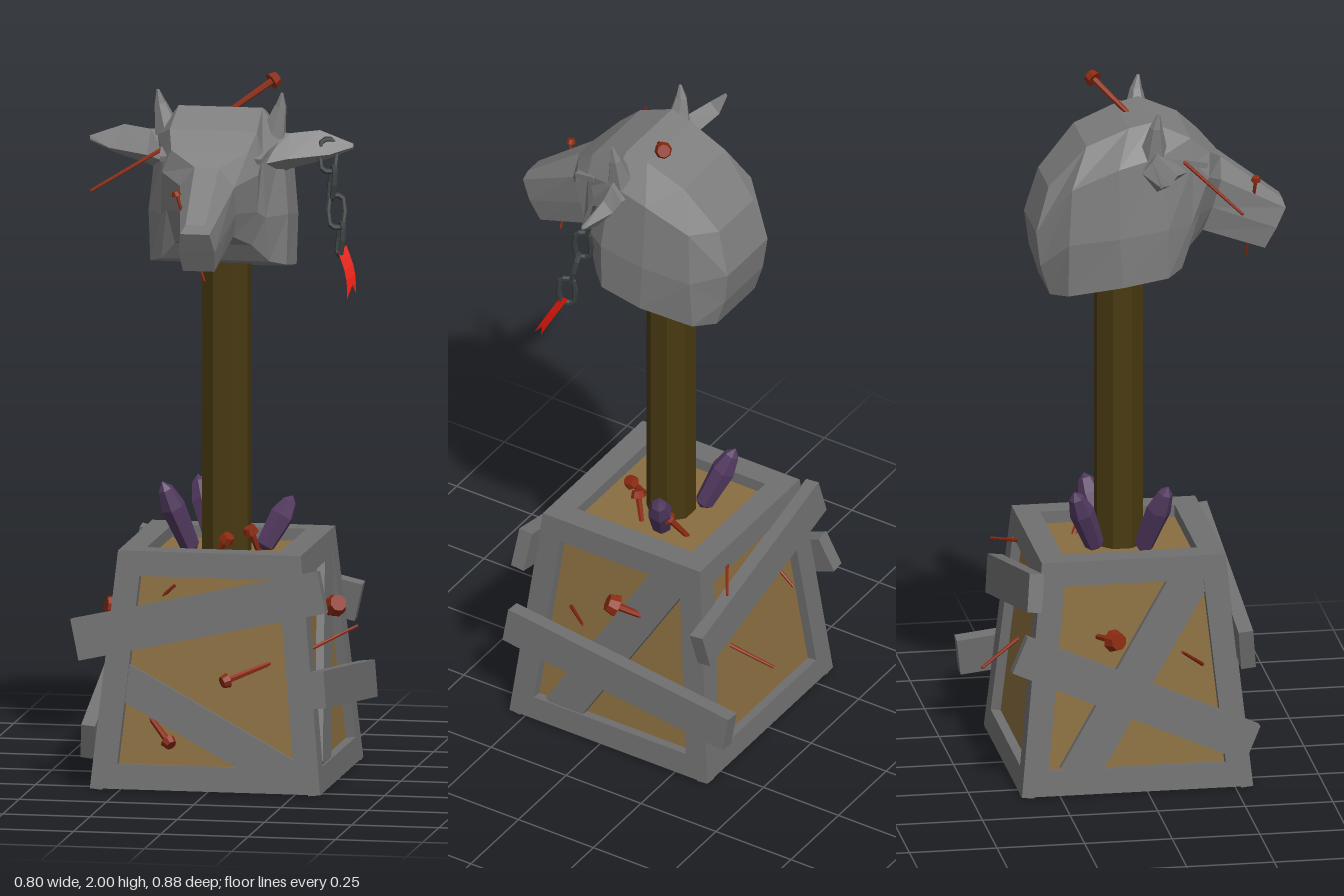
import * as THREE from 'three';

const mat = (color, extra = {}) => new THREE.MeshStandardMaterial({ color, flatShading: true, ...extra });
const STONE = mat(0x7e7e7e), FRAME = mat(0x707070), TAN = mat(0x8a6e40), POLE = mat(0x483910);
const RUST = mat(0x8b2a10), PURPLE = mat(0x523960), IRON = mat(0x3a4040);
const RED = mat(0xe01808, { side: THREE.DoubleSide });
const UP = new THREE.Vector3(0, 1, 0);
const CX = -0.005, CZ = -0.03; // axis of crate and pole

function add(parent, name, geometry, material, x = 0, y = 0, z = 0) {
  const m = new THREE.Mesh(geometry, material);
  m.name = name;
  m.position.set(x, y, z);
  parent.add(m);
  return m;
}

// Skin a series of rings (each clockwise seen from the far end) and cap both ends with strips
function loft(rings) {
  const n = rings[0].length, idx = [], last = (rings.length - 1) * n;
  for (let i = 0; i < rings.length - 1; i++)
    for (let j = 0; j < n; j++) {
      const a = i * n + j, b = i * n + (j + 1) % n, c = b + n, d = a + n;
      idx.push(a, d, c, a, c, b);
    }
  for (let j = 0; j < n / 2 - 1; j++) {
    const b = j + 1, c = n - 2 - j, d = n - 1 - j;
    idx.push(j, b, c, j, c, d, last + j, last + c, last + b, last + j, last + d, last + c);
  }
  const g = new THREE.BufferGeometry();
  g.setAttribute('position', new THREE.Float32BufferAttribute(rings.flat(2), 3));
  g.setIndex(idx);
  g.computeVertexNormals();
  return g;
}

// Group whose y axis runs from a to b
function along(parent, name, a, b) {
  const g = new THREE.Group(), p = new THREE.Vector3(...a), d = new THREE.Vector3(...b).sub(p);
  const length = d.length();
  g.name = name;
  g.position.copy(p);
  g.quaternion.setFromUnitVectors(UP, d.normalize());
  parent.add(g);
  return [g, length];
}

// Nail from its tip to its head; headR = 0 leaves a bare spike
function nail(parent, tip, head, r, headR) {
  const [g, len] = along(parent, headR ? 'nail' : 'spike', tip, head);
  add(g, 'nailShaft', new THREE.CylinderGeometry(r, r * 0.7, len, 6), RUST, 0, len / 2, 0);
  if (headR) {
    add(g, 'nailHead', new THREE.CylinderGeometry(headR * 0.75, headR, headR * 0.9, 8), RUST, 0, len, 0);
  }
}

function crate() {
  const g = new THREE.Group(), H = 0.67, B = 0.33, T = 0.262, W = 0.07, R = Math.SQRT2;
  g.name = 'crate';
  g.position.set(CX, 0, CZ);
  const panel = new THREE.CylinderGeometry((T - 0.025) * R, (B - 0.03) * R, 0.62, 4).rotateY(Math.PI / 4);
  add(g, 'cratePanels', panel, TAN, 0, 0.325, 0);
  add(g, 'crateBase', new THREE.BoxGeometry(2 * B - 0.01, 0.02, 2 * B - 0.01), FRAME, 0, 0.01, 0);

  const outline = (pts) => pts.map(p => new THREE.Vector2(...p));
  // Open rim on top
  const sq = (s) => outline([[-s, -s], [s, -s], [s, s], [-s, s]]);
  const rim = new THREE.Shape(sq(T));
  rim.holes.push(new THREE.Path(sq(T - W)));
  add(g, 'topRim', new THREE.ExtrudeGeometry(rim, { depth: 0.05, bevelEnabled: false }).rotateX(Math.PI / 2),
    FRAME, 0, H, 0);

  // Sloped side frames
  const L = Math.hypot(H, B - T), lean = Math.atan((B - T) / H);
  const half = (v) => B + (T - B) * v / L;
  const trap = (v0, v1, inset) => outline([[-half(v0) + inset, v0], [half(v0) - inset, v0],
    [half(v1) - inset, v1], [-half(v1) + inset, v1]]);
  const side = new THREE.Shape(trap(0, L, 0));
  side.holes.push(new THREE.Path(trap(W, L - W, W)));
  const sideGeo = new THREE.ExtrudeGeometry(side, { depth: 0.035, bevelEnabled: false }).translate(0, 0, -0.035);

  // Per side: planks as [u0, v0, u1, v1, width, offset, thickness]; front, left, back, right
  const brace = [-0.17, 0.05, 0.17, 0.62, 0.11, -0.018, 0.025];
  const planks = [
    [[-0.375, 0.42, 0.33, 0.575, 0.12, 0.018, 0.042], [-0.27, 0.32, 0.24, 0.045, 0.1, -0.018, 0.025]],
    [[-0.335, 0.3, 0.405, 0.21, 0.105, 0.022, 0.045], brace],
    [[-0.325, 0.45, 0.31, 0.6, 0.11, 0.018, 0.042]],
    [[-0.335, 0.42, 0.325, 0.13, 0.11, 0.02, 0.04], brace],
  ];
  planks.forEach((list, i) => {
    const turn = new THREE.Group(), face = new THREE.Group();
    turn.name = 'crateSide';
    turn.rotation.y = i * Math.PI / 2;
    face.position.z = B;
    face.rotation.x = -lean;
    turn.add(face);
    g.add(turn);
    add(face, 'sideFrame', sideGeo, FRAME);
    for (const [u0, v0, u1, v1, w, off, t] of list) {
      const m = add(face, off > 0 ? 'outerPlank' : 'diagonalBrace',
        new THREE.BoxGeometry(Math.hypot(u1 - u0, v1 - v0), w, t), FRAME, (u0 + u1) / 2, (v0 + v1) / 2, off);
      m.rotation.z = Math.atan2(v1 - v0, u1 - u0);
    }
  });
  return g;
}

function head() {
  const g = new THREE.Group();
  g.name = 'head';
  g.position.x = -0.008;
  // Half sections from nape to muzzle, each from crown to jaw
  const sections = [
    [[0.09, 1.73, -0.245], [0.105, 1.6, -0.283], [0.1, 1.5, -0.27], [0.1, 1.415, -0.243]],
    [[0.11, 1.85, -0.14], [0.165, 1.74, -0.19], [0.175, 1.58, -0.2], [0.16, 1.425, -0.2]],
    [[0.115, 1.9, -0.02], [0.185, 1.8, -0.06], [0.203, 1.6, -0.06], [0.2, 1.455, -0.05]],
    [[0.12, 1.915, 0.045], [0.18, 1.83, 0.06], [0.2, 1.62, 0.08], [0.195, 1.475, 0.08]],
    [[0.125, 1.865, 0.155], [0.142, 1.8, 0.16], [0.15, 1.62, 0.155], [0.155, 1.49, 0.125]],
    [[0.11, 1.815, 0.212], [0.138, 1.75, 0.205], [0.13, 1.64, 0.18], [0.11, 1.54, 0.155]],
    [[0.035, 1.775, 0.255], [0.078, 1.72, 0.25], [0.078, 1.64, 0.225], [0.065, 1.57, 0.2]],
    [[0.028, 1.64, 0.432], [0.042, 1.615, 0.44], [0.052, 1.56, 0.412], [0.045, 1.5, 0.38]],
  ];
  const rings = sections.map(s => [...s, ...[...s].reverse().map(([x, y, z]) => [-x, y, z])]);
  add(g, 'skull', loft(rings), STONE);

  // Ears, horns and brows, mirrored
  const ear = loft([
    [[0.13, 1.85, 0.05], [0.14, 1.8, 0.0], [0.14, 1.71, 0.07], [0.13, 1.77, 0.16]],
    [[0.2, 1.845, 0.045], [0.2, 1.8, 0.01], [0.2, 1.745, 0.055], [0.2, 1.78, 0.105]],
    [[0.28, 1.852, 0.02], [0.28, 1.82, -0.01], [0.3, 1.77, 0.03], [0.315, 1.79, 0.065]],
    [[0.378, 1.818, 0.03], [0.378, 1.81, 0.025], [0.376, 1.802, 0.03], [0.376, 1.808, 0.035]],
  ]);
  for (const s of [1, -1]) {
    const half = new THREE.Group();
    half.name = s > 0 ? 'leftHeadDetails' : 'rightHeadDetails';
    half.scale.x = s;
    g.add(half);
    add(half, 'ear', ear, STONE);
    const [base, l1] = along(half, 'horn', [0.148, 1.83, 0.045], [0.172, 1.92, 0.048]);
    add(base, 'hornBase', new THREE.CylinderGeometry(0.018, 0.042, l1, 6), STONE, 0, l1 / 2, 0);
    const [tip, l2] = along(half, 'horn', [0.172, 1.918, 0.048], [0.178, 1.96, 0.055]);
    add(tip, 'hornTip', new THREE.CylinderGeometry(0.004, 0.018, l2, 6), STONE, 0, l2 / 2, 0);
    const brow = add(half, 'brow', new THREE.BoxGeometry(0.02, 0.016, 0.07), STONE, 0.14, 1.795, 0.165);
    brow.rotation.set(0.25, -0.15, 0);
  }
  return g;
}

function chain() {
  const g = new THREE.Group();
  g.name = 'chain';
  const link = new THREE.TorusGeometry(0.024, 0.008, 6, 10);
  const p = link.attributes.position; // stretch the ring into an oval link
  for (let i = 0; i < p.count; i++) p.setY(i, p.getY(i) + Math.sign(Math.round(p.getY(i) * 1e4)) * 0.022);
  link.computeVertexNormals();
  for (let i = 0; i < 4; i++) {
    const t = i / 3;
    const m = add(g, 'chainLink', link, IRON, 0.3 + 0.045 * t, 1.785 - 0.23 * t, 0.045 + 0.05 * t);
    m.rotation.set(-0.25, i % 2 ? 2.0 : 0.4, i % 2 ? 0.25 : 0.05);
  }
  // Torn ribbon hanging from the last link
  const strip = new THREE.PlaneGeometry(1, 1, 2, 5), q = strip.attributes.position;
  for (let i = 0; i < q.count; i++) {
    const s = q.getX(i), t = 0.5 - q.getY(i), notch = t > 0.99 && s === 0 ? 0.03 : 0;
    const w = 0.042 * s;
    q.setXYZ(i, 0.35 + 0.038 * t + 0.01 * Math.sin(t * 3) + w * 0.45, 1.53 - 0.125 * t + notch + w * 0.3,
      0.1 + 0.065 * t - notch * 0.5 - w * 0.8);
  }
  strip.computeVertexNormals();
  add(g, 'ribbon', strip, RED);
  return g;
}

export function createModel() {
  const model = new THREE.Group();
  model.name = 'headOnCrate';
  model.add(crate(), head(), chain());
  add(model, 'pole', new THREE.CylinderGeometry(0.071, 0.071, 0.95, 8).rotateY(Math.PI / 8), POLE, CX, 1.075, CZ);

  // Crystals around the foot of the pole
  const crystals = [
    [[-0.09, 0.63, 0.02], [-0.168, 0.845, 0.085]],
    [[0.09, 0.63, -0.06], [0.172, 0.785, -0.1]],
    [[-0.05, 0.63, -0.1], [-0.115, 0.825, -0.175]],
  ];
  for (const [a, b] of crystals) {
    const [g, len] = along(model, 'crystal', a, b);
    const profile = [[0.001, 0], [0.028, 0.1], [0.036, 0.65], [0.022, 0.9], [0.001, 1]]
      .map(([r, t]) => new THREE.Vector2(r, t * len));
    add(g, 'crystalBody', new THREE.LatheGeometry(profile, 6), PURPLE);
  }

  // Nails: tip, head, shaft radius, head radius
  const nails = [
    [[0, 1.89, 0.01], [0.122, 1.975, -0.085], 0.01, 0.025],
    [[0.0, 1.465, 0.335], [-0.078, 1.715, 0.35], 0.005, 0.014],
    [[0.18, 0.365, 0.22], [0.055, 0.32, 0.315], 0.01, 0.022],
    [[-0.2, 0.225, 0.22], [-0.108, 0.135, 0.295], 0.01, 0.022],
    [[0.255, 0.44, -0.12], [0.31, 0.49, -0.033], 0.012, 0.033],
    [[-0.25, 0.44, -0.135], [-0.347, 0.455, -0.093], 0.012, 0.033],
    [[0.08, 0.62, -0.15], [0.13, 0.71, -0.1], 0.01, 0.022],
    [[0.1, 0.62, 0.0], [0.075, 0.705, 0.03], 0.01, 0.022],
    [[-0.03, 0.62, 0.06], [0.02, 0.69, 0.09], 0.01, 0.022],
  ];
  nails.forEach(n => nail(model, ...n));

  // Points of nails driven through from inside
  const spikes = [
    [[-0.34, 1.7, 0.27], [-0.13, 1.82, 0.11]],
    [[-0.105, 0.575, 0.225], [-0.175, 0.51, 0.2]],
    [[0.38, 0.44, 0.02], [0.26, 0.385, 0.135]],
    [[-0.398, 0.43, 0.087], [-0.265, 0.345, 0.168]],
    [[0.055, 0.26, -0.41], [0.11, 0.33, -0.29]],
    [[-0.16, 0.38, -0.34], [-0.16, 0.44, -0.27]],
    [[0.216, 0.59, -0.357], [0.08, 0.62, -0.27]],
  ];
  spikes.forEach(([tip, base]) => nail(model, tip, base, 0.006, 0));
  return model;
}
